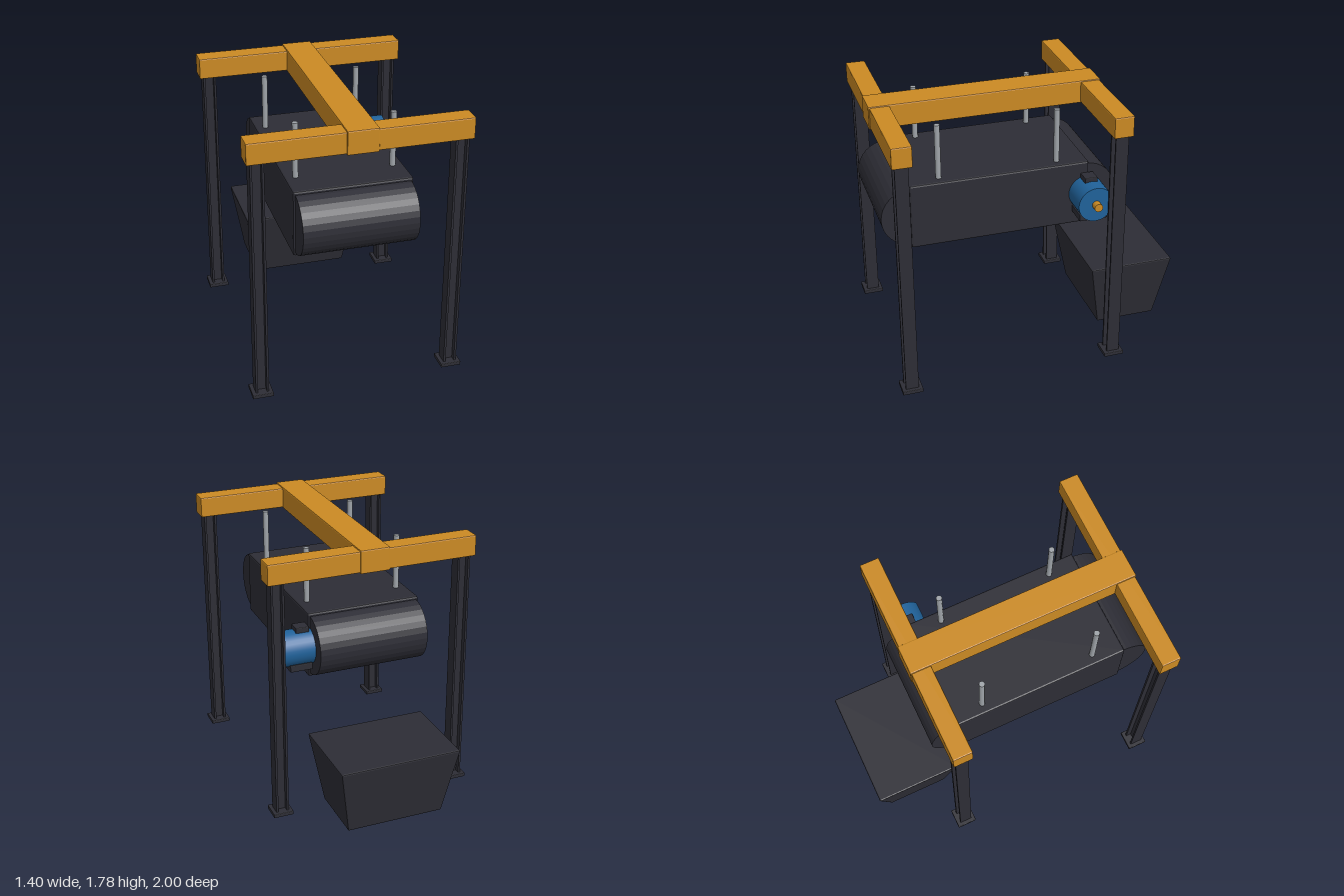
import * as THREE from 'three';
import { RoundedBoxGeometry } from 'three/addons/geometries/RoundedBoxGeometry.js';

const material = (name, color) => {
  const m = new THREE.MeshStandardMaterial({ color });
  m.name = name;
  return m;
};

export function createModel() {
  const dark = material('darkSteel', 0x2d2d35);
  const yellow = material('safetyYellow', 0xcb8a23);
  const blue = material('motorBlue', 0x20629a);
  const grey = material('rodGrey', 0xa0a5aa);

  const model = new THREE.Group();
  model.name = 'overbandMagneticSeparator';

  const add = (name, geometry, mat, x, y, z, parent = model) => {
    const mesh = new THREE.Mesh(geometry, mat);
    mesh.name = name;
    mesh.position.set(x, y, z);
    parent.add(mesh);
    return mesh;
  };
  // Flat normals for faceted surfaces
  const faceted = (geometry) => {
    const g = geometry.index ? geometry.toNonIndexed() : geometry;
    g.computeVertexNormals();
    return g;
  };
  // Box with a small chamfer
  const chamferBox = (w, h, d, r = 0.008) => faceted(new RoundedBoxGeometry(w, h, d, 1, r));
  // Cylinder lying along x
  const axle = (r, length, sides) => new THREE.CylinderGeometry(r, r, length, sides).rotateZ(Math.PI / 2);

  const frameZ = [0.917, -0.478];
  const middleZ = 0.22;
  const bodyY = 1.12;

  // Portal frame: cross beams, H-section legs and base plates
  const frame = new THREE.Group();
  frame.name = 'frame';
  model.add(frame);
  add('mainBeam', chamferBox(0.2, 0.155, 1.54), yellow, 0, 1.703, middleZ, frame);
  for (const z of frameZ) {
    add('crossBeam', chamferBox(1.405, 0.14, 0.13), yellow, 0, 1.702, z, frame);
    for (const side of [-1, 1]) {
      const leg = new THREE.Group();
      leg.name = 'leg';
      leg.position.set(side * 0.633, 0, z);
      frame.add(leg);
      for (const s of [-1, 1]) {
        add('legFlange', new THREE.BoxGeometry(0.014, 1.615, 0.085), dark, s * 0.036, 0.8275, 0, leg);
      }
      add('legWeb', new THREE.BoxGeometry(0.06, 1.615, 0.014), dark, 0, 0.8275, 0, leg);
      add('basePlate', chamferBox(0.135, 0.026, 0.135, 0.003), dark, 0, 0.013, 0, leg);
    }
  }

  // Magnet housing with a belt drum at each end
  add('magnetHousing', chamferBox(0.77, 0.44, 1.19, 0.012), dark, 0, bodyY, middleZ);
  for (const s of [-1, 1]) {
    add('beltDrum', faceted(axle(0.2, 0.74, 32)), dark, 0, bodyY, middleZ + s * 0.58);
  }

  // Suspension rods
  for (const x of [-0.315, 0.315]) {
    for (const z of [0.61, -0.175]) {
      add('suspensionRod', new THREE.CylinderGeometry(0.019, 0.019, 0.38, 12), grey, x, 1.515, z);
    }
  }

  // Drive motor on the left side
  const motor = new THREE.Group();
  motor.name = 'motor';
  motor.position.set(0, bodyY, middleZ - 0.58);
  model.add(motor);
  add('motorCasing', axle(0.118, 0.205, 32), blue, 0.473, 0, 0, motor);
  add('motorShaft', axle(0.028, 0.08, 16), yellow, 0.583, 0, 0, motor);
  add('terminalBox', chamferBox(0.088, 0.06, 0.085, 0.004), dark, 0.432, 0.115, 0, motor);
  add('motorFoot', chamferBox(0.15, 0.045, 0.19, 0.004), dark, 0.46, -0.107, 0, motor);

  // Collection bin, narrowing towards its base
  const binHeight = 0.475;
  const bin = chamferBox(0.82, binHeight, 0.586, 0.01);
  const p = bin.attributes.position;
  for (let i = 0; i < p.count; i++) {
    const t = 0.5 - p.getY(i) / binHeight;
    p.setX(i, p.getX(i) * (1 - 0.195 * t));
    p.setZ(i, p.getZ(i) * (1 - 0.29 * t));
  }
  bin.computeVertexNormals();
  add('collectionBin', bin, dark, 0, 0.273, -0.707);

  return model;
}
